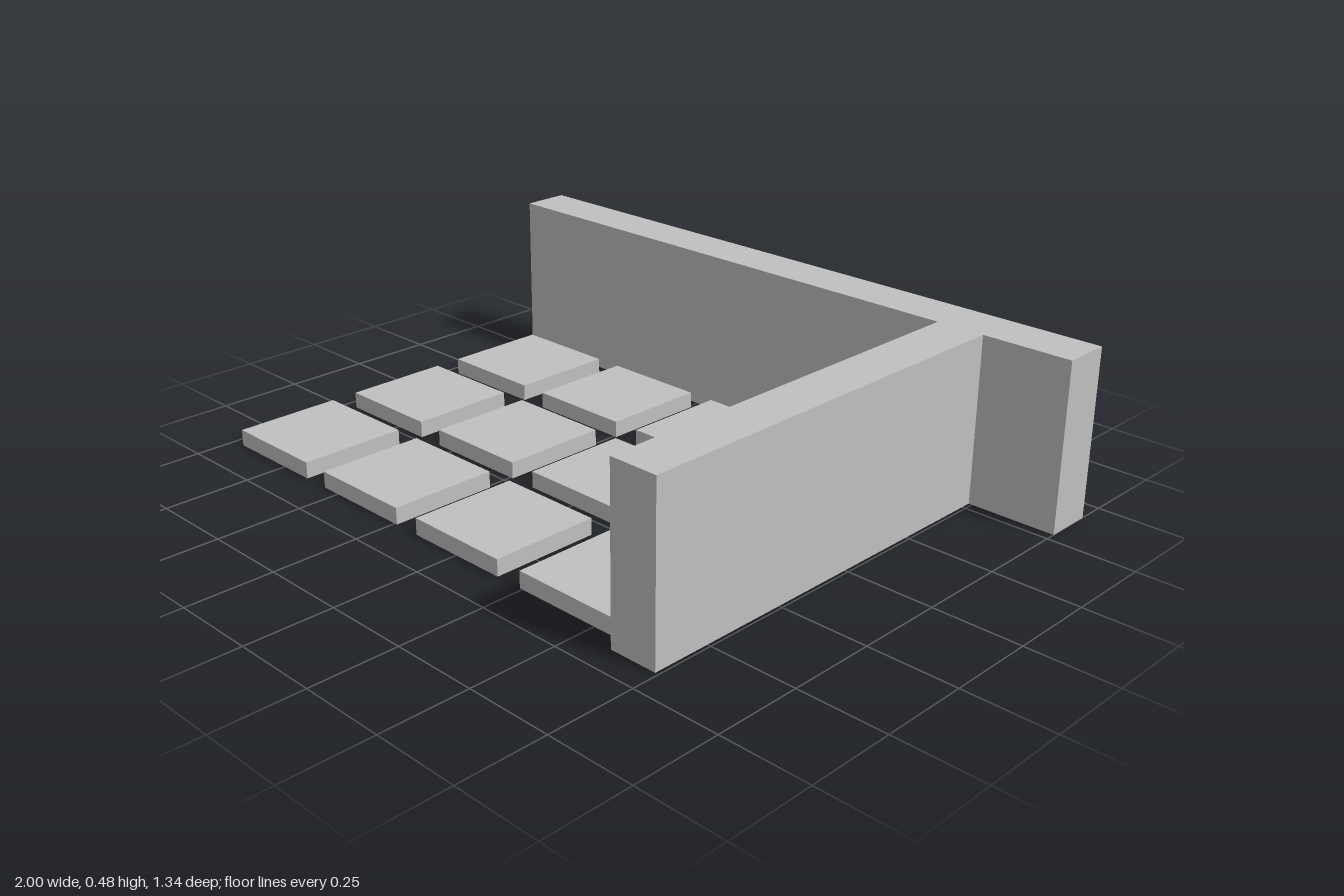
import * as THREE from 'three';

export function createModel() {
  const model = new THREE.Group();
  const grey = new THREE.MeshStandardMaterial({ color: 0xc0c0c0 });
  grey.name = 'light grey';

  // T-shaped wall: floor plan as [x, z], extruded upwards
  const plan = [
    [-1, -0.67], [1, -0.67], [1, -0.53], [0.74, -0.53],
    [0.74, 0.67], [0.6, 0.67], [0.6, -0.53], [-1, -0.53],
  ];
  const shape = new THREE.Shape(plan.map(([x, z]) => new THREE.Vector2(x, -z)));
  const wallGeometry = new THREE.ExtrudeGeometry(shape, { depth: 0.48, bevelEnabled: false });
  wallGeometry.rotateX(-Math.PI / 2);
  const walls = new THREE.Mesh(wallGeometry, grey);
  walls.name = 'walls';
  model.add(walls);

  // Grid of square paving slabs in the corner of the walls
  const paving = new THREE.Group();
  paving.name = 'paving';
  const size = 0.318, thickness = 0.048, pitch = 0.4;
  const slabGeometry = new THREE.BoxGeometry(size, thickness, size);
  for (let row = 0; row < 3; row++) {
    for (let column = 0; column < 4; column++) {
      const slab = new THREE.Mesh(slabGeometry, grey);
      slab.name = `pavingSlab${row + 1}_${column + 1}`;
      slab.position.set(-0.8 + column * pitch, thickness / 2, -0.333 + row * pitch);
      paving.add(slab);
    }
  }
  model.add(paving);

  return model;
}
